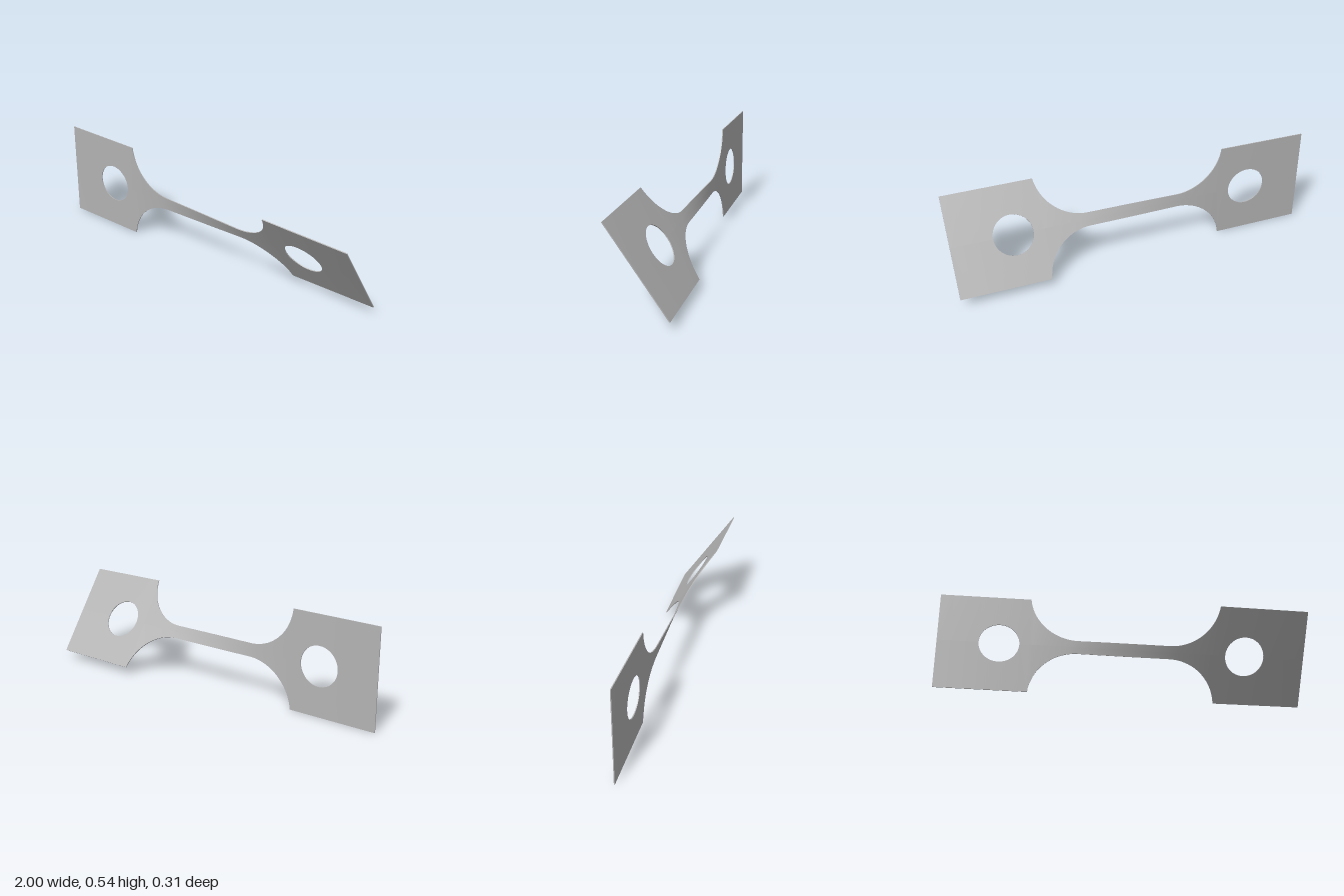
import * as THREE from 'three';
import { toCreasedNormals } from 'three/addons/utils/BufferGeometryUtils.js';

const CENTER_Y = 0.271, GRIP = 0.27, THICK = 0.005;
const ARC_X = 0.25, ARC_Y = 0.3, ARC_R = 0.264;   // fillet between grip and neck
const GRIP_X = ARC_X + Math.sqrt(ARC_R ** 2 - (ARC_Y - GRIP) ** 2);
const HOLE_R = 0.108, HOLES = [-0.673, 0.667];

// Half height of the flat outline at x
function outer(x) {
  const a = Math.abs(x);
  if (a >= GRIP_X - 1e-6) return GRIP;
  if (a <= ARC_X) return ARC_Y - ARC_R;
  return ARC_Y - Math.sqrt(ARC_R ** 2 - (a - ARC_X) ** 2);
}

// Half height of the round hole at x, zero elsewhere
function inner(x) {
  for (const h of HOLES) {
    const d = HOLE_R ** 2 - (x - h) ** 2;
    if (d > 1e-8) return Math.sqrt(d);
  }
  return 0;
}

// Twist angle along the bar, mostly in the neck
const TWIST = [[-1, 0], [-0.5, 1], [-0.3, 4], [0.3, 30.5], [0.5, 33.3], [1, 34.8]];
function twist(x) {
  for (let i = 1; i < TWIST.length; i++) {
    const [x0, a0] = TWIST[i - 1], [x1, a1] = TWIST[i];
    if (x <= x1) return THREE.MathUtils.degToRad(a0 + (a1 - a0) * (x - x0) / (x1 - x0));
  }
  return THREE.MathUtils.degToRad(TWIST.at(-1)[1]);
}

// Positions along x: finer around the holes and fillets
function stations() {
  const xs = [-1, 1];
  for (const h of HOLES)
    for (let i = 0; i <= 24; i++) xs.push(h - HOLE_R * Math.cos(Math.PI * i / 24));
  const sweep = Math.asin((GRIP_X - ARC_X) / ARC_R);
  for (let i = 0; i <= 18; i++) {
    const x = ARC_X + ARC_R * Math.sin(sweep * i / 18);
    xs.push(x, -x);
  }
  for (let i = 1; i < 16; i++) xs.push(-ARC_X + 2 * ARC_X * i / 16);
  for (const x of [0.85, 0.93]) xs.push(x, -x);
  return xs.sort((a, b) => a - b);
}

// One half of the bar: side +1 is above the centre line, -1 below
function halfBar(side) {
  const pos = [];
  const quad = (a, b, c, d) => {
    const order = side > 0 ? [a, b, c, a, c, d] : [a, c, b, a, d, c];
    for (const p of order) pos.push(...p);
  };
  const ring = x => {
    const t = twist(x), c = Math.cos(t), s = Math.sin(t), h = THICK / 2;
    const i = inner(x) * side, o = outer(x) * side;
    return [[i, h], [o, h], [o, -h], [i, -h]].map(([y, z]) =>
      [x, CENTER_Y + y * c - z * s, y * s + z * c]);
  };
  const xs = stations(), rings = xs.map(ring);
  for (let j = 1; j < xs.length; j++) {
    const A = rings[j - 1], B = rings[j];
    const inHole = inner((xs[j - 1] + xs[j]) / 2) > 0;
    for (let k = 0; k < (inHole ? 4 : 3); k++) {
      const n = (k + 1) % 4;
      quad(A[k], B[k], B[n], A[n]);
    }
  }
  quad(...rings[0]);
  quad(...rings.at(-1).slice().reverse());
  const geo = new THREE.BufferGeometry();
  geo.setAttribute('position', new THREE.Float32BufferAttribute(pos, 3));
  return toCreasedNormals(geo, Math.PI / 5);
}

export function createModel() {
  const steel = new THREE.MeshStandardMaterial({ color: 0xb4b4b4 });
  steel.name = 'grey steel';
  const model = new THREE.Group();
  model.name = 'twistedTestBar';
  for (const [name, side] of [['upperHalf', 1], ['lowerHalf', -1]]) {
    const mesh = new THREE.Mesh(halfBar(side), steel);
    mesh.name = name;
    model.add(mesh);
  }
  return model;
}
